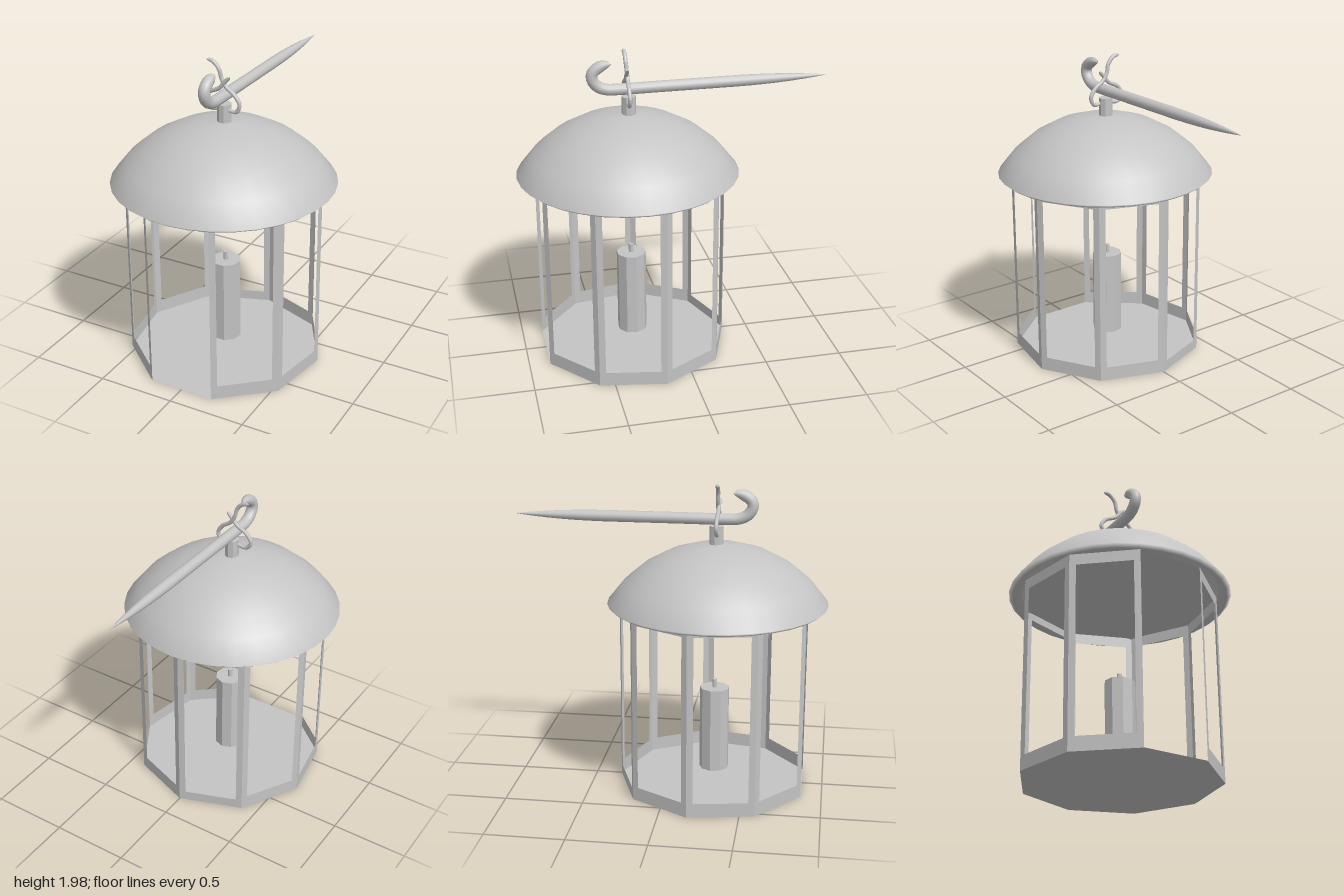
import * as THREE from 'three';

const SIDES = 9, R = 0.62, CZ = 0.285, HEIGHT = 1.235;

export function createModel() {
  const model = new THREE.Group();
  const grey = new THREE.MeshStandardMaterial({ color: 0xc4c4c4, side: THREE.DoubleSide });
  grey.name = 'plain grey';

  const add = (name, geometry, x = 0, y = 0, z = 0, parent = model) => {
    const mesh = new THREE.Mesh(geometry, grey);
    mesh.name = name;
    mesh.position.set(x, y, z);
    parent.add(mesh);
    return mesh;
  };

  // Faceted upright prism with a corner pointing to the back
  const prism = (name, r, y0, y1) => {
    const g = new THREE.CylinderGeometry(r, r, y1 - y0, SIDES, 1, false, Math.PI).toNonIndexed();
    g.computeVertexNormals();
    return add(name, g, 0, (y0 + y1) / 2, CZ);
  };

  // Nine-sided plates closing the body below and above
  const plate = (name, y) => {
    const g = new THREE.CircleGeometry(R, SIDES, Math.PI / 2);
    g.rotateX(-Math.PI / 2);
    return add(name, g, 0, y, CZ);
  };
  plate('floor', 0.001);
  plate('ceiling', HEIGHT);

  // Framed window panels around the body; the front bay is an open doorway
  const corner = (i) => {
    const a = Math.PI + (i * 2 * Math.PI) / SIDES;
    return new THREE.Vector2(R * Math.sin(a), R * Math.cos(a));
  };
  const width = 2 * R * Math.sin(Math.PI / SIDES);
  const panelGeometry = (low, high) => {
    const s = new THREE.Shape();
    const w = width / 2, x = w - 0.04;
    s.moveTo(-w, 0).lineTo(w, 0).lineTo(w, HEIGHT).lineTo(-w, HEIGHT).closePath();
    const hole = new THREE.Path();
    hole.moveTo(-x, low).lineTo(-x, high).lineTo(x, high).lineTo(x, low).closePath();
    s.holes.push(hole);
    return new THREE.ShapeGeometry(s);
  };
  const panels = new THREE.Group();
  panels.name = 'windowPanels';
  model.add(panels);
  const frame = panelGeometry(0.09, 1.165), slimFrame = panelGeometry(0.067, 1.187);
  for (let i = 0; i < SIDES; i++) {
    if (i === 4) continue;
    const mid = corner(i).add(corner(i + 1)).multiplyScalar(0.5);
    const panel = add('windowPanel', i === 0 ? slimFrame : frame, mid.x, 0, CZ + mid.y, panels);
    panel.rotation.y = Math.atan2(mid.x, mid.y);
  }

  // Domed roof: spherical cap running smoothly over the rim to the turned-in underside
  const capR = 0.835, capY = 0.765, maxAngle = Math.asin(0.7 / capR);
  const profile = [[0.62, HEIGHT], [0.675, 1.2]].map((p) => new THREE.Vector2(...p));
  for (let i = 5; i >= 0; i--) {
    const a = (maxAngle * i) / 5;
    profile.push(new THREE.Vector2(capR * Math.sin(a), capY + capR * Math.cos(a)));
  }
  add('roof', new THREE.LatheGeometry(profile, 32), 0, 0, 0.297);

  // Candle, wick and the stub on top of the roof
  prism('candle', 0.096, 0.09, 0.645);
  prism('wick', 0.016, 0.645, 0.7);
  prism('roofStub', 0.045, 1.59, 1.71);

  // Tube whose thickness follows radiusAt(t)
  const taperedTube = (points, segments, sides, radiusAt) => {
    const path = new THREE.CatmullRomCurve3(points.map((p) => new THREE.Vector3(...p)));
    const g = new THREE.TubeGeometry(path, segments, 1, sides);
    const pos = g.attributes.position, v = new THREE.Vector3();
    for (let i = 0; i < pos.count; i++) {
      const t = Math.floor(i / (sides + 1)) / segments;
      const c = path.getPointAt(t);
      v.fromBufferAttribute(pos, i).sub(c).multiplyScalar(radiusAt(t)).add(c);
      pos.setXYZ(i, v.x, v.y, v.z);
    }
    return g;
  };

  // Wall spike with a curled hook at the front
  const spike = [
    [0.387, 1.917], [0.42, 1.917], [0.465, 1.903], [0.505, 1.868], [0.508, 1.828], [0.475, 1.782],
    [0.42, 1.759], [0.35, 1.755], [0.1, 1.755], [-0.3, 1.755], [-0.7, 1.755], [-1, 1.755],
  ].map(([z, y]) => [-0.008, y, z]);
  add('spikeHook', taperedTube(spike, 90, 14, (t) => {
    const start = Math.sqrt(Math.min(1, t / 0.04));
    const end = t > 0.62 ? 1 - Math.pow((t - 0.62) / 0.38, 2.3) : 1;
    return 0.036 * start * end;
  }));

  // Bent wire loop, crossing over the spike
  const wire = [
    [-0.115, 1.975, 0], [-0.07, 1.967, 0], [-0.03, 1.925, 0], [-0.015, 1.87, -0.003],
    [0.015, 1.82, -0.003], [0.075, 1.775, 0], [0.108, 1.72, 0], [0.085, 1.672, 0],
    [0.03, 1.675, 0], [-0.03, 1.675, 0], [-0.1, 1.672, 0], [-0.133, 1.715, 0],
    [-0.1, 1.768, 0], [-0.03, 1.805, 0.003], [0.01, 1.85, 0.003], [0.045, 1.885, 0],
  ].map(([x, y, z]) => [x, y, z + 0.295]);
  add('hangingWire', taperedTube(wire, 80, 8, (t) => 0.013 * Math.sqrt(Math.min(1, t / 0.03, (1 - t) / 0.03))));

  return model;
}
